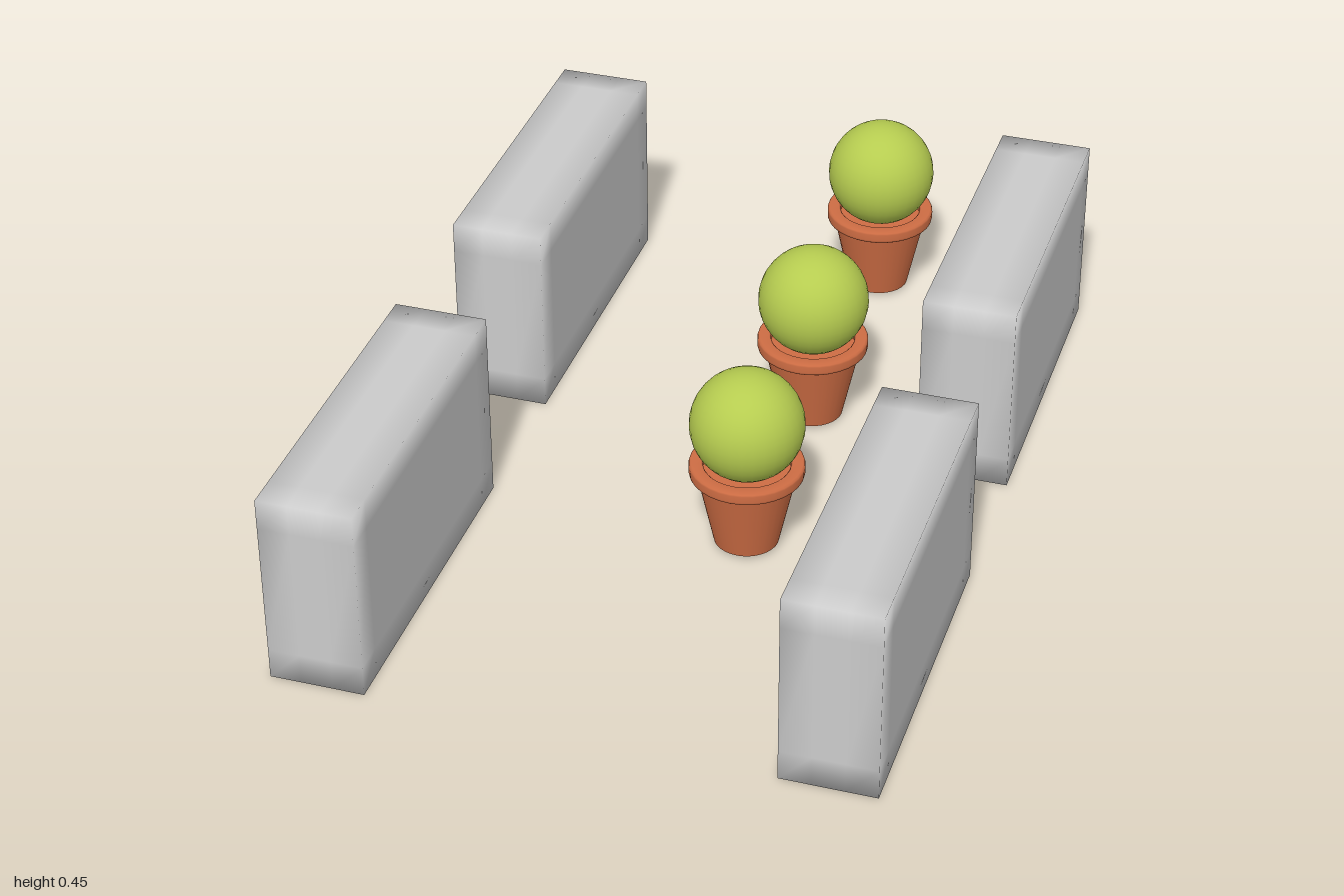
import * as THREE from 'three';
import { mergeVertices } from 'three/addons/utils/BufferGeometryUtils.js';

const grey = new THREE.MeshStandardMaterial({ color: 0xcccccc });
const green = new THREE.MeshStandardMaterial({ color: 0xb6cc50 });
const terracotta = new THREE.MeshStandardMaterial({ color: 0xce6d44, side: THREE.DoubleSide });

// Square-edged block whose support loops near the edges give soft shading
function softBlock(w, h, d, inset) {
  const geo = new THREE.BoxGeometry(w, h, d, 3, 3, 3);
  const pos = geo.attributes.position;
  const slide = (v, size) => {
    const half = size / 2;
    return Math.abs(v) > half * 0.9 ? v : Math.sign(v) * (half - inset);
  };
  for (let i = 0; i < pos.count; i++) {
    pos.setXYZ(i, slide(pos.getX(i), w), slide(pos.getY(i), h), slide(pos.getZ(i), d));
  }
  geo.deleteAttribute('normal');
  geo.deleteAttribute('uv');
  const merged = mergeVertices(geo, 1e-4);
  merged.computeVertexNormals();
  return merged;
}

// Lathe made of separate profile runs, so edges between runs stay crisp
function lathePart(name, points) {
  const geo = new THREE.LatheGeometry(points.map(([r, y]) => new THREE.Vector2(r, y)), 32);
  const mesh = new THREE.Mesh(geo, terracotta);
  mesh.name = name;
  return mesh;
}

function pottedBush() {
  const group = new THREE.Group();
  group.name = 'pottedBush';

  // Tapered pot with a closed base
  group.add(lathePart('potBase', [[0, 0.008], [0.072, 0.008]]));
  group.add(lathePart('potBody', [[0.072, 0.008], [0.11, 0.184]]));

  // Overhanging rim with slightly softened edges
  group.add(lathePart('potRim', [
    [0.108, 0.182], [0.122, 0.182], [0.126, 0.185], [0.127, 0.19],
    [0.127, 0.205], [0.126, 0.209], [0.122, 0.212], [0.1, 0.212], [0.096, 0.208], [0.096, 0.19],
  ]));
  group.add(lathePart('potFill', [[0.097, 0.192], [0, 0.192]]));

  // Ball-shaped bush
  const bush = new THREE.Mesh(new THREE.SphereGeometry(0.126, 32, 20), green);
  bush.name = 'bush';
  bush.position.y = 0.309;
  group.add(bush);
  return group;
}

export function createModel() {
  const model = new THREE.Group();
  model.name = 'planterArrangement';

  // Four long blocks, two on each side
  const blockGeo = softBlock(0.21, 0.45, 0.77, 0.07);
  for (const x of [-0.55, 0.55]) {
    for (const z of [0.615, -0.505]) {
      const block = new THREE.Mesh(blockGeo, grey);
      block.name = 'block';
      block.position.set(x, 0.225, z);
      model.add(block);
    }
  }

  // Row of potted bushes
  for (const z of [-0.874, -0.274, 0.25]) {
    const pot = pottedBush();
    pot.position.set(0.155, 0, z);
    model.add(pot);
  }
  return model;
}
